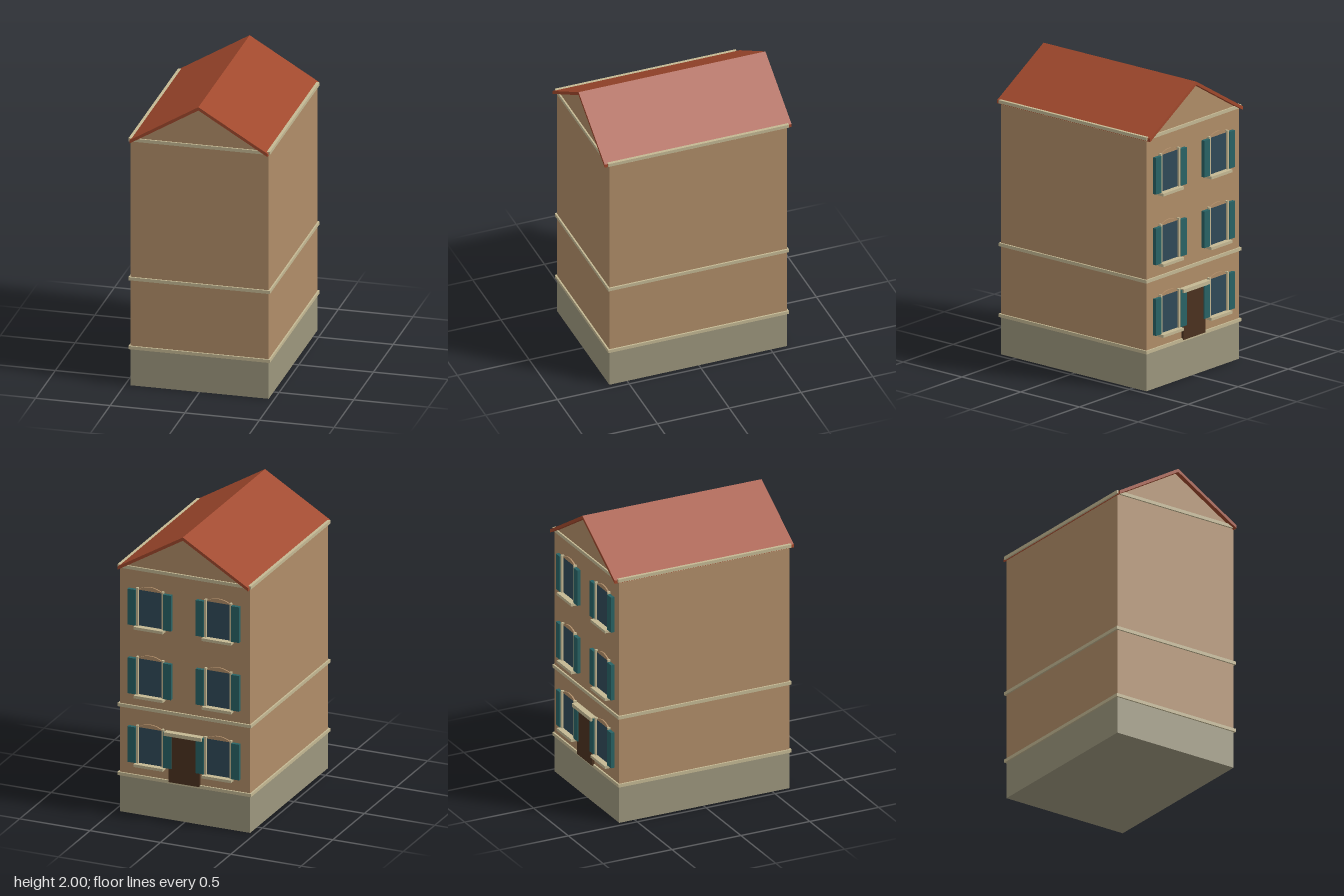
import * as THREE from 'three';

const mat = (name, color) => {
  const m = new THREE.MeshStandardMaterial({ color });
  m.name = name;
  return m;
};

export function createModel() {
  const house = new THREE.Group();
  house.name = 'townHouse';

  const wall = mat('wallTan', 0xb08d68);
  const stone = mat('plinthStone', 0x9c967d);
  const trim = mat('trimCream', 0xc4b893);
  const tile = mat('roofRed', 0xa0482c);
  const teal = mat('shutterTeal', 0x286365);
  const glass = mat('glassBlue', 0x304a58);
  const wood = mat('doorBrown', 0x4b311f);

  const W = 0.463, BACK = -0.612, FRONT = 0.624;

  // Box given by its limits on each axis
  const box = (name, material, x0, x1, y0, y1, z0, z1, parent = house) => {
    const m = new THREE.Mesh(new THREE.BoxGeometry(x1 - x0, y1 - y0, z1 - z0), material);
    m.position.set((x0 + x1) / 2, (y0 + y1) / 2, (z0 + z1) / 2);
    m.name = name;
    parent.add(m);
  };

  // Outline in x, y extruded between two z limits
  const prism = (name, material, points, z0, z1, parent = house) => {
    const shape = new THREE.Shape(points.map(([x, y]) => new THREE.Vector2(x, y)));
    const geo = new THREE.ExtrudeGeometry(shape, { depth: z1 - z0, bevelEnabled: false });
    const m = new THREE.Mesh(geo, material);
    m.position.z = z0;
    m.name = name;
    parent.add(m);
  };

  // Plinth, walls with gables, and pitched roof
  box('plinth', stone, -W, W, 0, 0.256, BACK, FRONT);
  prism('walls', wall, [[-W, 0.256], [W, 0.256], [W, 1.698], [0, 1.976], [-W, 1.698]], BACK, FRONT);
  prism('roof', tile,
    [[-W, 1.699], [0, 1.977], [W, 1.699], [W, 1.722], [0, 2], [-W, 1.722]], -0.645, 0.656);

  // Moulding bands around the house
  for (const y of [0.266, 0.747, 1.717]) {
    box('band', trim, -0.474, 0.474, y - 0.011, y + 0.011, BACK - 0.011, FRONT + 0.011);
  }

  // Window with arched head, jambs, sill and open shutters; origin at the sill top
  const addWindow = (x, y) => {
    const g = new THREE.Group();
    g.name = 'window';
    g.position.set(x, y, BACK);
    house.add(g);
    box('pane', glass, -0.085, 0.085, 0, 0.25, -0.006, 0, g);
    const arch = [];
    for (let i = 0; i <= 8; i++) {
      const t = 1 - i / 4;
      arch.push([0.09 * t, 0.25 + 0.028 * (1 - t * t)]);
    }
    prism('archedHead', wall, arch, -0.009, 0, g);
    box('sill', trim, -0.104, 0.104, -0.019, 0, -0.045, 0, g);
    for (const s of [-1, 1]) {
      box('jamb', trim, s * 0.09 - 0.007, s * 0.09 + 0.007, 0, 0.264, -0.02, 0, g);
      box('shutter', teal, s * 0.126 - 0.028, s * 0.126 + 0.028, 0.002, 0.251, -0.026, -0.002, g);
    }
  };
  for (const y of [0.363, 0.843, 1.323]) {
    for (const x of [-0.242, 0.242]) addWindow(x, y);
  }

  // Entrance
  box('door', wood, -0.11, 0.11, 0.268, 0.596, -0.63, BACK);
  box('doorCanopy', trim, -0.133, 0.133, 0.596, 0.621, -0.653, BACK);

  return house;
}
